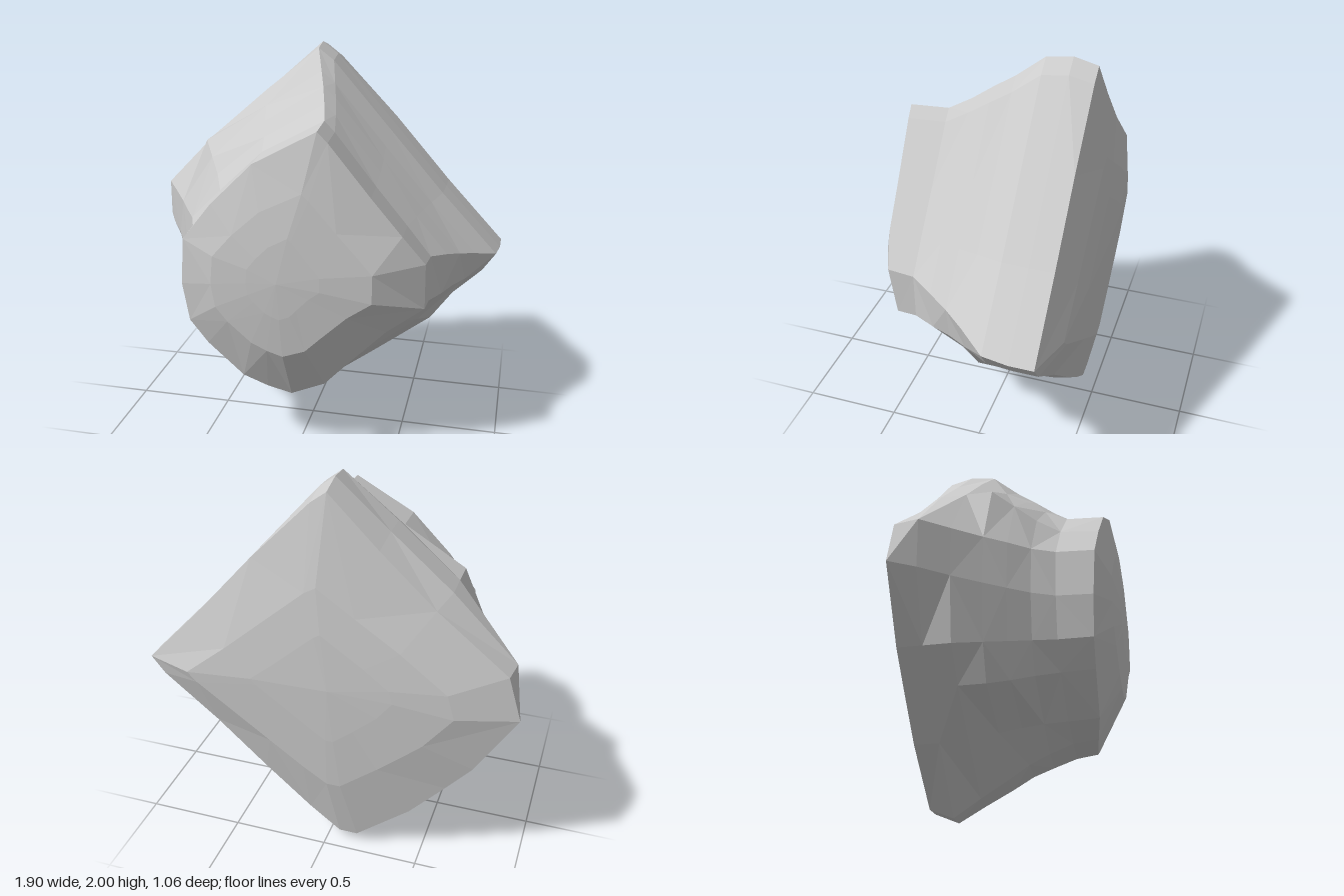
import * as THREE from 'three';

// Matching outlines (x, y), clockwise from the top, of the wide back and the narrow front
const BACK = [[-0.02, 2], [0.06, 1.94], [0.36, 1.6], [0.65, 1.27], [0.95, 0.95], [0.88, 0.86], [0.62, 0.62], [0.35, 0.37], [0.1, 0.14],
  [-0.07, 0], [-0.17, 0], [-0.44, 0.28], [-0.62, 0.48], [-0.75, 0.63], [-0.95, 0.96], [-0.9, 1.19], [-0.58, 1.51], [-0.28, 1.77]];
const FRONT = [[0.12, 1.71], [0.17, 1.66], [0.37, 1.41], [0.52, 1.23], [0.63, 1.09], [0.63, 0.85], [0.45, 0.71], [0.25, 0.5], [0.14, 0.38],
  [-0.03, 0.31], [-0.15, 0.35], [-0.27, 0.41], [-0.45, 0.58], [-0.54, 0.7], [-0.57, 0.9], [-0.55, 1.14], [-0.4, 1.33], [-0.19, 1.54]];
// Bevel of the back rim, and the depth up to which each flank keeps its full width
const RIM = [0.97, 0.97, 1, 1, 1, 1, 0.97, 0.97, 0.96, 0.95, 0.95, 1, 1, 1, 1, 0.98, 0.92, 0.94];
const FULL = [-0.2, -0.2, -0.2, -0.2, -0.2, -0.2, -0.04, -0.12, -0.25, -0.31, -0.31, -0.25, 0, -0.15, -0.4, -0.3, -0.05, -0.15];
const N = BACK.length;

// Flank loop at depth z: every point eases from the back outline to the front one
function flankLoop(z) {
  return BACK.map(([bx, by], i) => {
    const u = THREE.MathUtils.clamp((z - FULL[i]) / (0.3 - FULL[i]), 0, 1);
    const t = (1 - u) ** 1.25;
    // small chips where the flank narrows
    const chip = 1 + Math.sin(i * 12.9 + z * 40) * 0.01 * (1 - t);
    const x = THREE.MathUtils.lerp(FRONT[i][0], bx, t);
    const y = THREE.MathUtils.lerp(FRONT[i][1], by, t);
    return [x * chip, 1 + (y - 1) * chip, z];
  });
}

// The front edge leans back towards the lower right
function frontEdgeZ(x, y) {
  return 0.425 + 0.04 * (y - 1) - 0.02 * x - 0.1 * Math.max(0, 0.7 - y + x);
}

function rockGeometry() {
  const loops = [
    // shallow domed back
    BACK.map(([x, y]) => [x * 0.38, 1 + (y - 1) * 0.3, -0.52]),
    BACK.map(([x, y]) => [x * 0.72 + 0.03, 0.97 + (y - 1) * 0.56, -0.5]),
    // bevelled rim
    BACK.map(([x, y], i) => [x * RIM[i], 1 + (y - 1) * RIM[i], -0.43]),
    // uneven flanks narrowing to the front
    ...[-0.31, -0.18, -0.05, 0.05, 0.15, 0.26].map(flankLoop),
    // domed front face
    FRONT.map(([x, y]) => [x, y, frontEdgeZ(x, y)]),
    FRONT.map(([x, y]) => [x * 0.66 - 0.02, 1 + (y - 1) * 0.6, 0.5]),
    FRONT.map(([x, y]) => [x * 0.3 - 0.04, 1 + (y - 1) * 0.3, 0.522]),
  ];
  const points = loops.flat(2);
  const index = [];
  for (let k = 0; k < loops.length - 1; k++) {
    for (let i = 0; i < N; i++) {
      const j = (i + 1) % N;
      const a = k * N + i, b = k * N + j, c = a + N, d = b + N;
      // alternate the diagonals for irregular facets
      if ((i + k) % 2) index.push(a, c, b, b, c, d);
      else index.push(a, c, d, a, d, b);
    }
  }
  // close both faces with a fan
  const backCentre = points.length / 3, frontCentre = backCentre + 1;
  points.push(-0.04, 1, -0.53, -0.06, 0.98, 0.53);
  const last = (loops.length - 1) * N;
  for (let i = 0; i < N; i++) {
    const j = (i + 1) % N;
    index.push(backCentre, i, j, frontCentre, last + j, last + i);
  }
  const geometry = new THREE.BufferGeometry();
  geometry.setAttribute('position', new THREE.Float32BufferAttribute(points, 3));
  geometry.setIndex(index);
  geometry.computeVertexNormals();
  return geometry;
}

export function createModel() {
  const group = new THREE.Group();
  group.name = 'boulder';
  const rock = new THREE.Mesh(rockGeometry(), new THREE.MeshStandardMaterial({ color: 0xcccccc, flatShading: true }));
  rock.name = 'rock';
  group.add(rock);
  return group;
}
